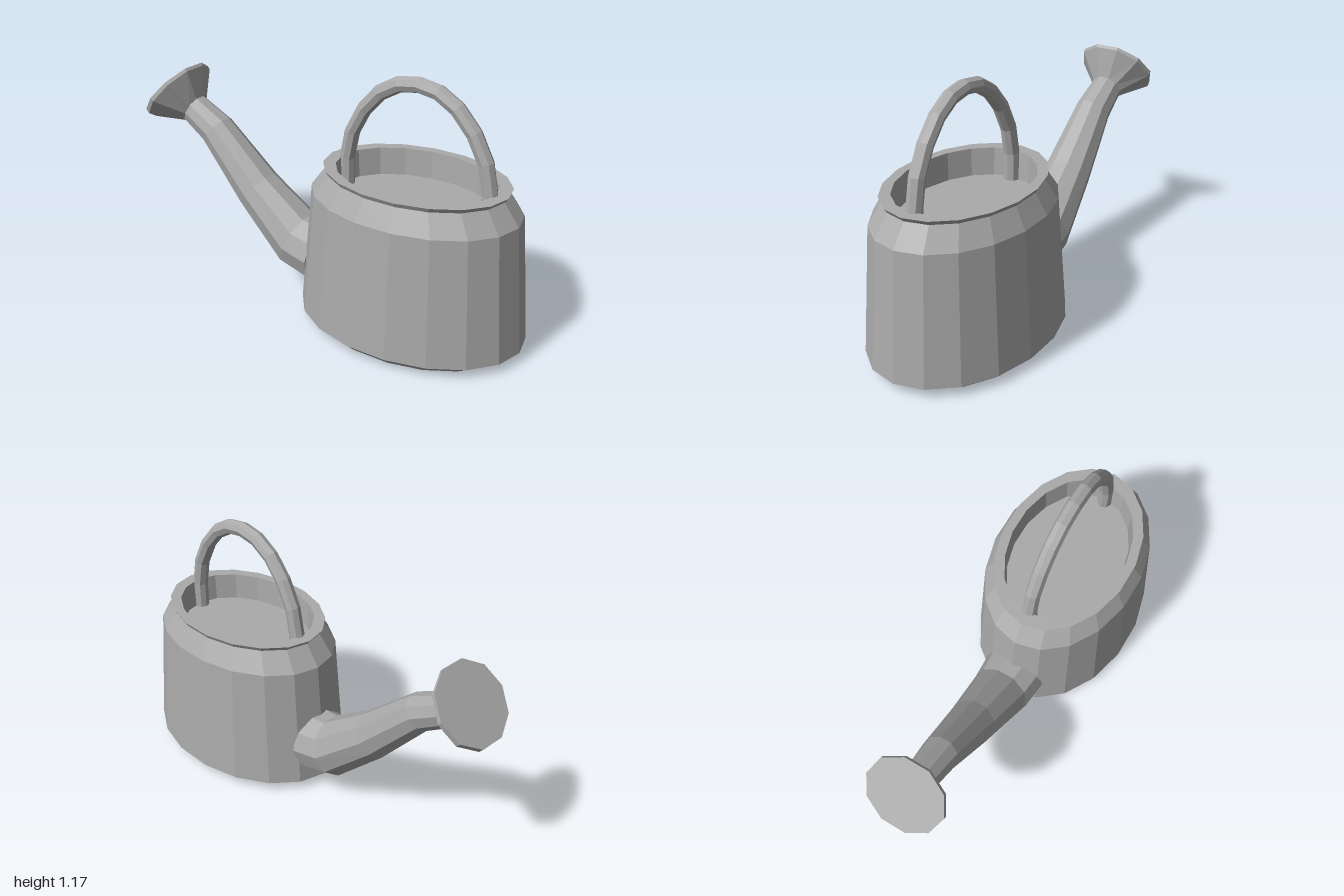
import * as THREE from 'three';

// Faceted surface through elliptical rings. Each ring: centre (x, y), half axis (ax, ay) and half width rz.
function loft(rings, sides) {
  const pos = [];
  const point = (r, j) => {
    const t = (j / sides) * Math.PI * 2;
    return [r.x + r.ax * Math.sin(t), r.y + r.ay * Math.sin(t), r.rz * Math.cos(t)];
  };
  const tri = (a, b, c) => pos.push(...a, ...b, ...c);
  const first = rings[0], last = rings[rings.length - 1];
  for (let j = 0; j < sides; j++) {
    for (let i = 0; i < rings.length - 1; i++) {
      const a = point(rings[i], j), b = point(rings[i], j + 1);
      const c = point(rings[i + 1], j + 1), d = point(rings[i + 1], j);
      tri(a, b, c);
      tri(a, c, d);
    }
    tri([first.x, first.y, 0], point(first, j + 1), point(first, j));
    tri([last.x, last.y, 0], point(last, j), point(last, j + 1));
  }
  const geo = new THREE.BufferGeometry();
  geo.setAttribute('position', new THREE.Float32BufferAttribute(pos, 3));
  geo.computeVertexNormals();
  return geo;
}

// Ring spanning an upper and a lower outline point
const span = (ux, uy, lx, ly, rz) => ({
  x: (ux + lx) / 2, y: (uy + ly) / 2, ax: (ux - lx) / 2, ay: (uy - ly) / 2, rz,
});

export function createModel() {
  const model = new THREE.Group();
  model.name = 'wateringCan';
  const metal = new THREE.MeshStandardMaterial({ color: 0xaaaaaa });
  metal.name = 'greyMetal';
  const add = (name, geo) => {
    const mesh = new THREE.Mesh(geo, metal);
    mesh.name = name;
    model.add(mesh);
    return mesh;
  };
  const middle = 0.463;

  // Oval body with rim and recessed inner floor
  const profile = [
    [0, 0], [0.46, 0], [0.535, 0.047], [0.485, 0.62], [0.415, 0.715],
    [0.43, 0.735], [0.37, 0.735], [0.36, 0.61], [0, 0.61],
  ].map(([x, y]) => new THREE.Vector2(x, y));
  let body = new THREE.LatheGeometry(profile, 18, Math.PI / 2);
  body.scale(1, 1, 0.71);
  body.translate(middle, 0, 0);
  body = body.toNonIndexed();
  body.computeVertexNormals();
  add('body', body);

  // Bent, tapering spout
  add('spout', loft([
    span(0.0, 0.375, -0.03, 0.08, 0.15),
    span(-0.10, 0.385, -0.205, 0.125, 0.14),
    span(-0.32, 0.535, -0.46, 0.37, 0.112),
    span(-0.58, 0.76, -0.69, 0.635, 0.085),
    span(-0.735, 0.84, -0.805, 0.71, 0.074),
  ], 10));

  // Flared sprinkler head with a flat face
  add('sprinklerHead', loft([
    span(-0.735, 0.83, -0.805, 0.71, 0.074),
    span(-0.752, 0.985, -0.982, 0.702, 0.185),
    span(-0.762, 0.997, -1.0, 0.722, 0.185),
  ], 10));

  // Arched handle, mirrored about its crown
  const half = [[0.347, 0.605], [0.347, 0.735], [0.322, 0.86], [0.262, 0.975], [0.182, 1.065], [0.093, 1.117]];
  const path = [
    ...half.map(([x, y]) => [-x, y]), [0, 1.132], ...half.slice().reverse(),
  ].map(([x, y]) => new THREE.Vector2(middle + x, y));
  const radius = 0.035;
  add('handle', loft(path.map((p, i) => {
    const before = path[Math.max(i - 1, 0)], after = path[Math.min(i + 1, path.length - 1)];
    const d = after.clone().sub(before).normalize();
    return { x: p.x, y: p.y, ax: d.y * radius, ay: -d.x * radius, rz: radius };
  }), 8));

  return model;
}
